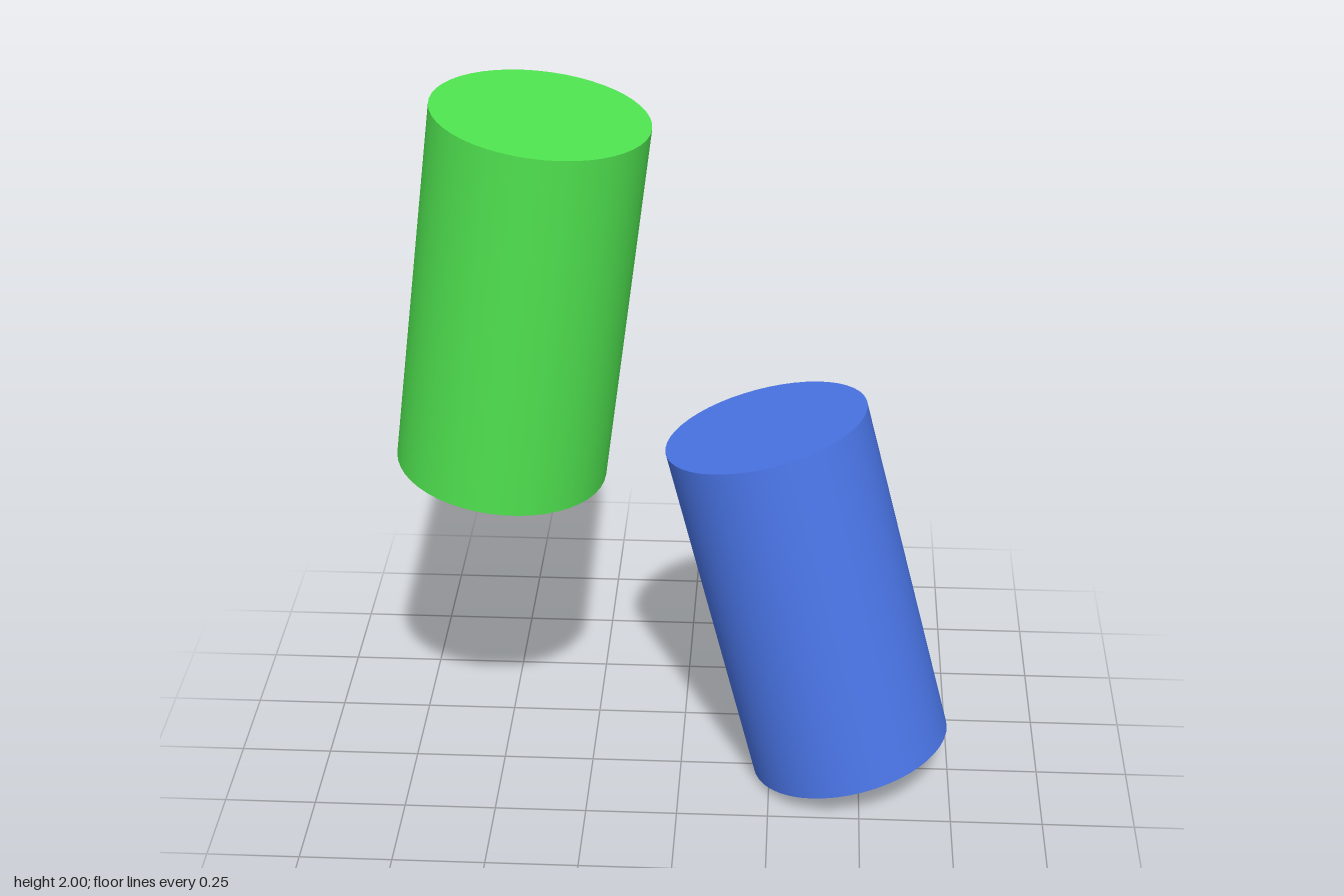
import * as THREE from 'three';

const RADIUS = 0.278;

// Solid cylinder running between the centres of its two end caps
function cylinderBetween(name, bottom, top, material) {
  const a = new THREE.Vector3(...bottom);
  const b = new THREE.Vector3(...top);
  const axis = b.clone().sub(a);
  const mesh = new THREE.Mesh(
    new THREE.CylinderGeometry(RADIUS, RADIUS, axis.length(), 48),
    material
  );
  mesh.name = name;
  mesh.position.copy(a).add(b).multiplyScalar(0.5);
  mesh.quaternion.setFromUnitVectors(new THREE.Vector3(0, 1, 0), axis.normalize());
  return mesh;
}

export function createModel() {
  const green = new THREE.MeshStandardMaterial({ color: 0x50e450 });
  green.name = 'green';
  const blue = new THREE.MeshStandardMaterial({ color: 0x4c78ec });
  blue.name = 'blue';

  const model = new THREE.Group();
  model.name = 'tiltedCylinders';
  model.add(
    // Upper cylinder, leaning slightly toward +x
    cylinderBetween('upperCylinder', [-0.473, 0.977, 0.041], [-0.344, 1.965, 0.071], green),
    // Lower cylinder, leaning toward -x
    cylinderBetween('lowerCylinder', [0.474, 0.074, -0.007], [0.223, 1.036, -0.074], blue)
  );
  return model;
}
